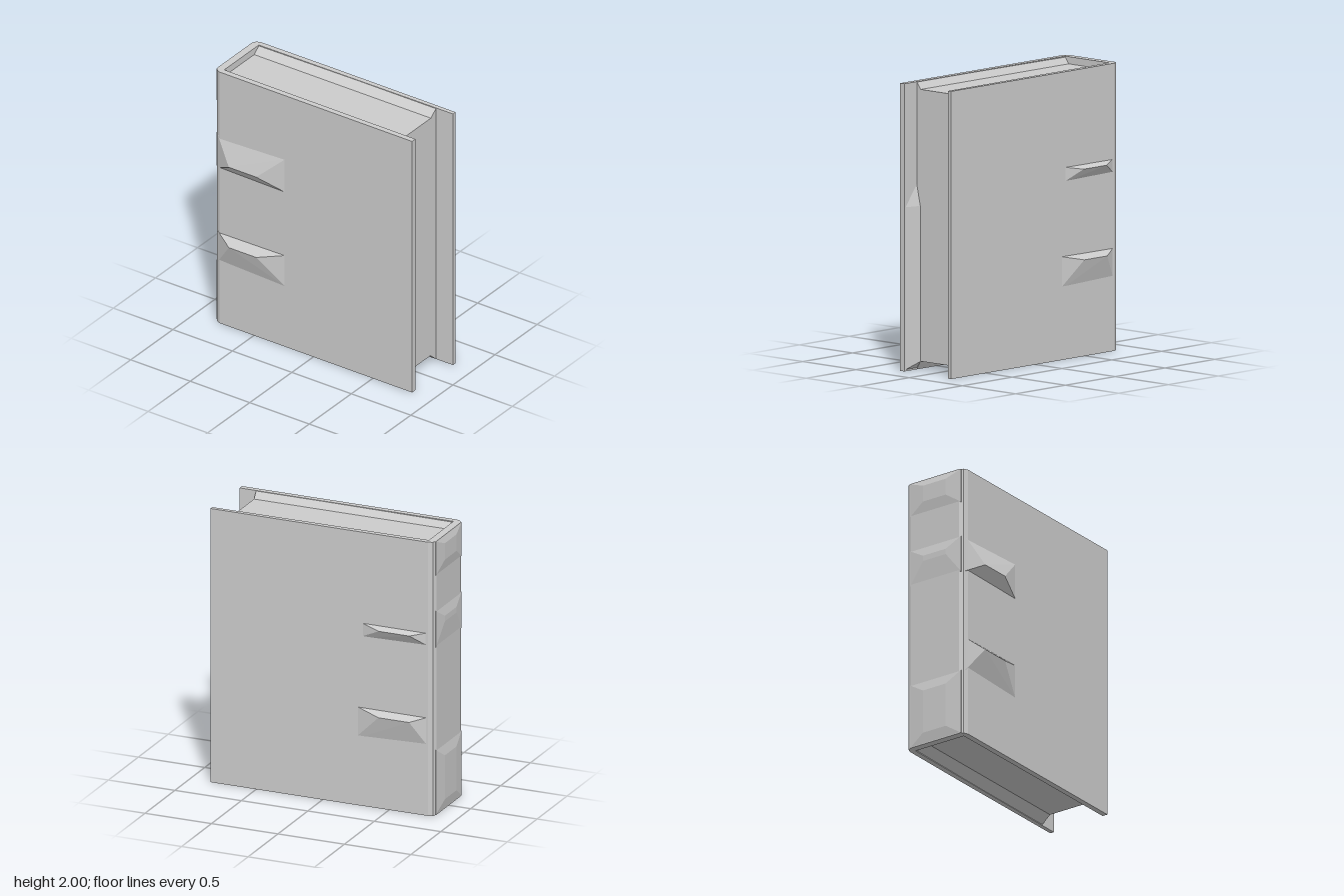
import * as THREE from 'three';
import { ConvexGeometry } from 'three/addons/geometries/ConvexGeometry.js';

const material = new THREE.MeshStandardMaterial({ color: 0xcccccc, flatShading: true });

function add(group, name, geometry) {
  const mesh = new THREE.Mesh(geometry, material);
  mesh.name = name;
  group.add(mesh);
}

const shapeOf = (points) => new THREE.Shape(points.map(([x, y]) => new THREE.Vector2(x, y)));
const hull = (points) => new ConvexGeometry(points.map((p) => new THREE.Vector3(...p)));

// Faceted ridge on a cover: a base rectangle rising to a short horizontal crest
function coverRidge(side, top, bottom, crestY, crestX, baseFront) {
  const base = side * 0.235;
  return hull([
    [base, top, baseFront], [base, bottom, baseFront],
    [side * 0.243, top, baseFront], [side * 0.243, bottom, baseFront],
    [side * 0.235, top, -0.81], [side * 0.235, bottom, -0.81],
    [side * crestX, crestY, -0.44], [side * crestX, crestY, -0.67],
  ]);
}

// Shallow raised panel on the spine
function spinePad(bottom, top, crestLow, crestHigh) {
  const points = [];
  for (const x of [-0.215, 0.215]) {
    for (const y of [bottom, top]) points.push([x, y, -0.82], [x, y, -0.835]);
    for (const y of [crestLow, crestHigh]) points.push([x * 0.45, y, -0.85]);
  }
  return hull(points);
}

export function createModel() {
  const book = new THREE.Group();
  book.name = 'book';

  // Covers and spine in one U-shaped section (x, -z), extruded upwards
  const binding = new THREE.ExtrudeGeometry(shapeOf([
    [-0.245, -0.83], [-0.205, -0.83], [-0.2, 0.78], [0.21, 0.78],
    [0.22, -0.845], [0.25, -0.845], [0.253, 0.2], [0.25, 0.79],
    [0.238, 0.822], [0.21, 0.836], [-0.2, 0.836], [-0.228, 0.822], [-0.243, 0.79],
  ]), { depth: 2, bevelEnabled: false });
  binding.rotateX(-Math.PI / 2);
  add(book, 'binding', binding);

  // Page block with sloped strips rising to the covers at top and bottom
  const pages = new THREE.ExtrudeGeometry(shapeOf([
    [-0.203, 0.003], [-0.17, 0.06], [0.15, 0.06], [0.215, 0.003],
    [0.215, 1.997], [0.155, 1.95], [-0.167, 1.95], [-0.203, 1.997],
  ]), { depth: 1.49, bevelEnabled: false });
  pages.translate(0, 0, -0.785);
  add(book, 'pages', pages);

  // Wedge between the lower page edge and the cover
  add(book, 'coverHinge', hull([
    [-0.206, 0.01, 0.82], [-0.206, 1.14, 0.82], [-0.206, 1.3, 0.7],
    [-0.17, 0.06, 0.7], [-0.17, 1.14, 0.7], [-0.206, 0.01, 0.7],
  ]));

  // Ridges where the raised bands run onto the covers
  add(book, 'upperRidgeLeft', coverRidge(1, 1.34, 1.225, 1.31, 0.293, -0.27));
  add(book, 'lowerRidgeLeft', coverRidge(1, 0.725, 0.475, 0.68, 0.298, -0.23));
  add(book, 'upperRidgeRight', coverRidge(-1, 1.49, 1.23, 1.31, 0.302, -0.24));
  add(book, 'lowerRidgeRight', coverRidge(-1, 0.725, 0.48, 0.67, 0.302, -0.24));

  // Raised panels on the spine
  add(book, 'spineTopPanel', spinePad(1.75, 1.998, 1.83, 1.95));
  add(book, 'spineBand', spinePad(1.225, 1.49, 1.38, 1.42));
  add(book, 'spineBottomPanel', spinePad(0.002, 0.475, 0.08, 0.4));

  return book;
}
